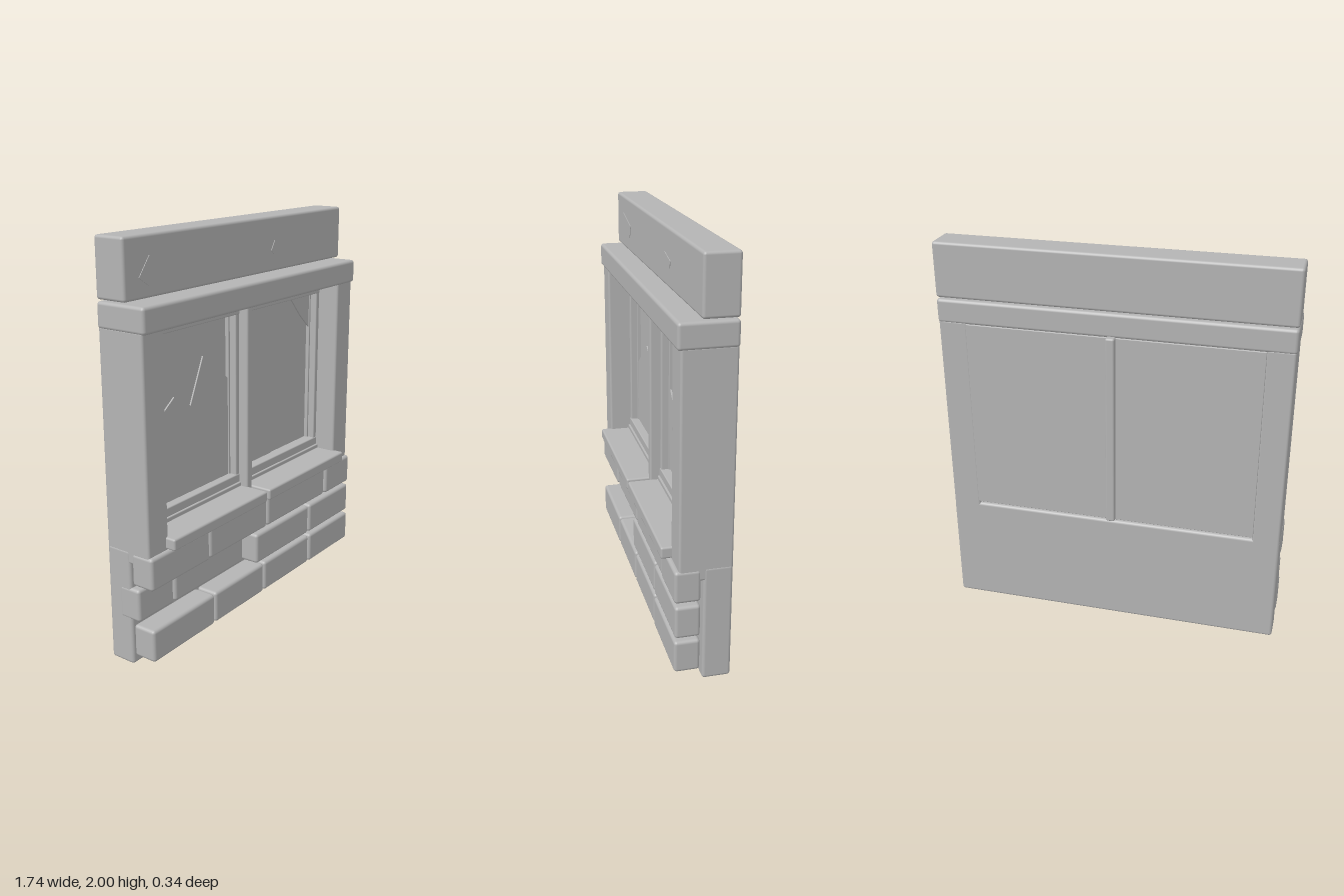
import * as THREE from 'three';
import { RoundedBoxGeometry } from 'three/addons/geometries/RoundedBoxGeometry.js';

export function createModel() {
  const root = new THREE.Group();
  root.name = 'windowWall';
  const grey = new THREE.MeshStandardMaterial({ color: 0xb4b4b4 });
  grey.name = 'plainGrey';

  // Soft-edged block given by its limits on each axis
  function block(name, x0, x1, y0, y1, z0, z1, r = 0.012) {
    const w = x1 - x0, h = y1 - y0, d = z1 - z0;
    const radius = Math.min(r, Math.min(w, h, d) * 0.4);
    const mesh = new THREE.Mesh(new RoundedBoxGeometry(w, h, d, 2, radius), grey);
    mesh.position.set((x0 + x1) / 2, (y0 + y1) / 2, (z0 + z1) / 2);
    mesh.name = name;
    root.add(mesh);
  }

  // Flat polygon plate
  function plate(name, points, z, depth) {
    const shape = new THREE.Shape(points.map(([x, y]) => new THREE.Vector2(x, y)));
    const mesh = new THREE.Mesh(new THREE.ExtrudeGeometry(shape, { depth, bevelEnabled: false }), grey);
    mesh.position.z = z;
    mesh.name = name;
    root.add(mesh);
  }

  // Main masonry: lower wall, lintel, top beam and jambs
  block('lowerWall', -0.87, 0.87, 0, 0.585, -0.137, 0, 0.015);
  block('lintel', -0.872, 0.872, 1.597, 1.718, -0.14, 0.13, 0.016);
  block('topBeam', -0.872, 0.872, 1.725, 2, -0.138, 0.027, 0.014);
  block('rightJamb', -0.868, -0.73, 0.52, 1.61, -0.137, 0.115);
  block('leftJamb', 0.722, 0.868, 0.52, 1.61, -0.137, 0.115);

  // Chipped patches on the beam
  plate('beamChipLarge', [[-0.78, 1.82], [-0.72, 1.78], [-0.545, 1.8], [-0.52, 1.865], [-0.71, 1.91]], 0.022, 0.008);
  plate('beamChipSmall', [[0.205, 1.83], [0.23, 1.81], [0.33, 1.82], [0.345, 1.855], [0.235, 1.88]], 0.022, 0.008);

  // Brick courses: limits in y, joints along x, front depth per brick
  const courses = [
    { y: [0.055, 0.217], joints: [-0.872, -0.41, 0.015, 0.455, 0.872], front: [0.135, 0.133, 0.132, 0.135] },
    { y: [0.235, 0.398], joints: [-0.872, -0.62, -0.055, 0.453, 0.872], front: [0.05, 0.05, 0.13, 0.132] },
    { y: [0.417, 0.578], joints: [-0.872, -0.445, 0.045, 0.615, 0.872], front: [0.135, 0.13, 0.13, 0.135] },
  ];
  for (const { y, joints, front } of courses) {
    front.forEach((z, i) => {
      const a = joints[i] + (i > 0 ? 0.005 : 0);
      const b = joints[i + 1] - (i < 3 ? 0.005 : 0);
      block('brick', a, b, y[0], y[1], z > 0.1 ? 0.012 : -0.07, z, 0.016);
    });
  }

  // Sill halves and centre mullion
  block('sillRight', -0.75, -0.012, 0.583, 0.641, -0.12, 0.168, 0.01);
  block('sillLeft', 0.01, 0.745, 0.583, 0.641, -0.12, 0.168, 0.01);
  block('mullion', -0.026, 0.02, 0.6, 1.605, -0.17, 0.05, 0.01);

  // Two sashes: backing pane, stiles and stepped rails
  for (const [x0, x1] of [[-0.735, -0.02], [0.015, 0.728]]) {
    block('pane', x0, x1, 0.6, 1.6, -0.142, -0.06, 0.003);
    block('outerRail', x0, x1, 0.635, 0.662, -0.08, 0.01, 0.005);
    block('bottomRail', x0, x1, 0.655, 0.706, -0.08, 0, 0.006);
    block('topRail', x0, x1, 1.542, 1.605, -0.08, 0, 0.006);
    for (const [a, b] of [[x0, x0 + 0.032], [x1 - 0.032, x1]]) {
      block('stile', a, b, 0.65, 1.6, -0.08, -0.003, 0.006);
    }
    block('beadRight', x0 + 0.03, x0 + 0.043, 0.7, 1.535, -0.08, -0.04, 0.003);
    block('beadLeft', x1 - 0.043, x1 - 0.03, 0.7, 1.535, -0.08, -0.04, 0.003);
  }

  // Broken glass left in the sashes
  plate('glassShardLower', [[-0.693, 0.705], [-0.065, 0.705], [-0.065, 1.22], [-0.26, 1.37],
    [-0.36, 1.145], [-0.48, 1.215], [-0.693, 1.06]], -0.053, 0.008);
  plate('glassShardCorner', [[0.058, 0.712], [0.325, 0.712], [0.205, 0.805], [0.13, 1.08], [0.058, 1.145]], -0.053, 0.008);
  plate('glassShardTop', [[0.5, 1.54], [0.6, 1.43], [0.69, 1.35], [0.69, 1.54]], -0.053, 0.008);

  return root;
}
